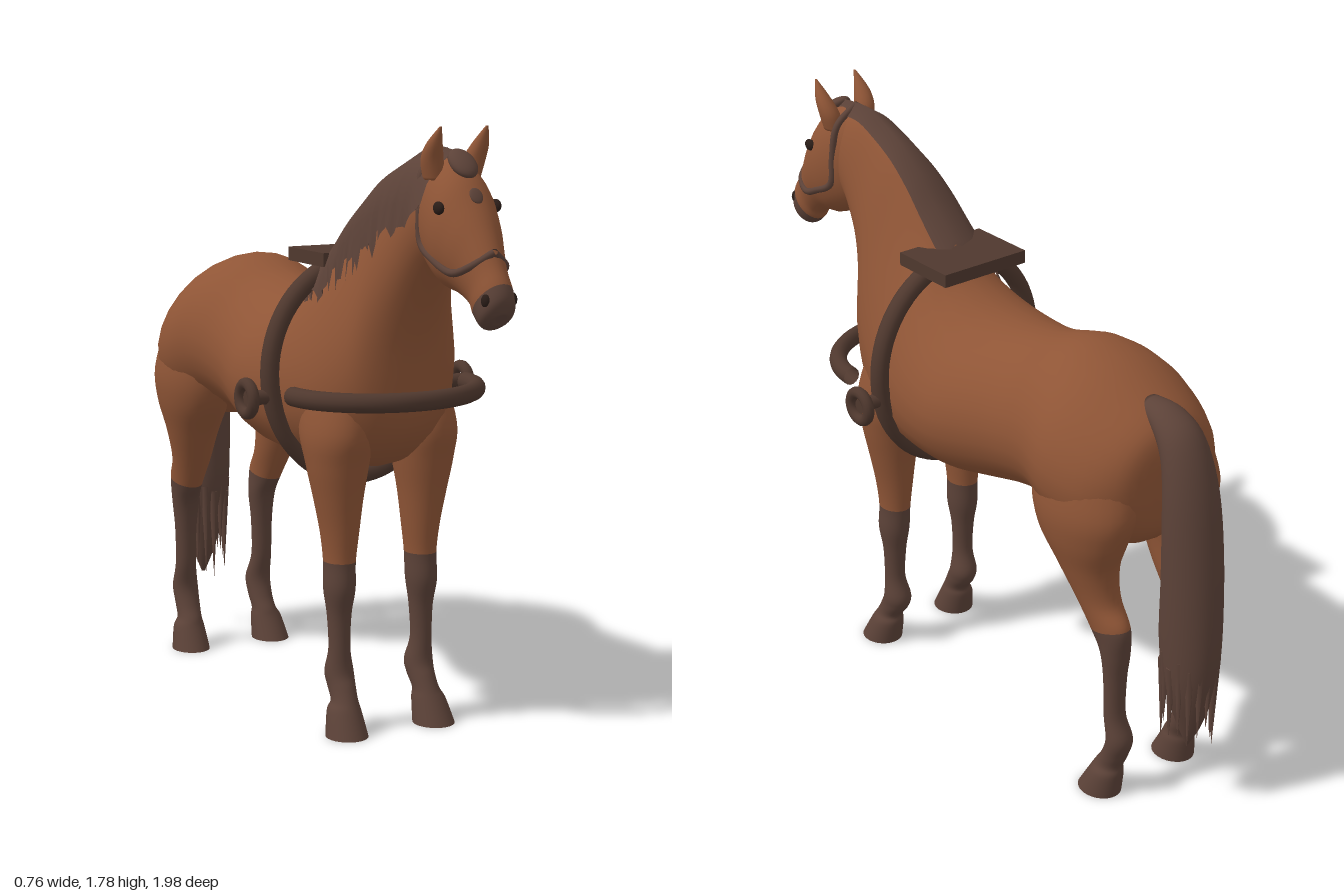
import * as THREE from 'three';

const mat = (name, color, side = THREE.FrontSide) => {
  const m = new THREE.MeshStandardMaterial({ color, side });
  m.name = name;
  return m;
};
const coat = mat('chestnutCoat', 0x8f5536);
const dark = mat('darkHair', 0x5c4238, THREE.DoubleSide);
const leather = mat('harnessLeather', 0x4f382e, THREE.DoubleSide);
const black = mat('eyeBlack', 0x2a1d18);

// Small seeded generator for the ragged hair
let seed = 7;
const rand = () => (seed = (seed * 16807) % 2147483647) / 2147483647;

const spline = (a, b, c, d, t) =>
  b + 0.5 * t * (c - a + t * (2 * a - 5 * b + 4 * c - d + t * (3 * (b - c) + d - a)));

// Skin over oval cross-sections [z1, y1, z2, y2, halfWidth, centreX, narrowing].
// Points 1 and 2 are the ends of the oval in the side plane; a positive
// narrowing slims the end at point 1. Rows after section `split` use material 1.
function loft(sections, split = Infinity, steps = 5, sides = 28) {
  const n = sections.length, rows = (n - 1) * steps, pos = [], first = [], second = [];
  const at = i => sections[Math.max(0, Math.min(n - 1, i))];
  const ring = r => {
    const i = Math.min(Math.floor(r / steps), n - 2), t = r / steps - i;
    const [z1, y1, z2, y2, w, cx, k] = [0, 1, 2, 3, 4, 5, 6].map(c =>
      spline(at(i - 1)[c] || 0, at(i)[c] || 0, at(i + 1)[c] || 0, at(i + 2)[c] || 0, t));
    for (let j = 0; j < sides; j++) {
      const a = j / sides * Math.PI * 2, c = Math.cos(a);
      pos.push(cx + w * Math.sin(a) * (1 - k * c), (y1 + y2 + c * (y1 - y2)) / 2, (z1 + z2 + c * (z1 - z2)) / 2);
    }
  };
  for (let r = 0; r <= rows; r++) ring(r);
  ring(rows); // separate ring so the end cap stays flat
  for (let r = 0; r < rows; r++) for (let j = 0; j < sides; j++) {
    const a = r * sides + j, b = r * sides + (j + 1) % sides;
    (r < split * steps ? first : second).push(a, a + sides, b, b, a + sides, b + sides);
  }
  const e = (rows + 1) * sides;
  for (let j = 1; j < sides - 1; j++) {
    first.push(0, j, j + 1);
    (split < n ? second : first).push(e, e + j + 1, e + j);
  }
  const g = new THREE.BufferGeometry();
  g.setAttribute('position', new THREE.Float32BufferAttribute(pos, 3));
  g.setIndex([...first, ...second]);
  g.addGroup(0, first.length, 0);
  g.addGroup(first.length, second.length, 1);
  g.computeVertexNormals();
  return g;
}

export function createModel() {
  const model = new THREE.Group();
  model.name = 'harnessedHorse';
  const add = (name, geo, material, x = 0, y = 0, z = 0) => {
    const m = new THREE.Mesh(geo, material);
    m.name = name;
    m.position.set(x, y, z);
    model.add(m);
    return m;
  };
  const blob = (name, material, x, y, z, sx, sy, sz) => {
    const m = add(name, new THREE.SphereGeometry(1, 20, 14), material, x, y, z);
    m.scale.set(sx, sy, sz);
    return m;
  };
  const tube = (name, pts, r, material) => add(name, new THREE.TubeGeometry(
    new THREE.CatmullRomCurve3(pts.map(p => new THREE.Vector3(...p))), 40, r, 8), material);

  // Trunk and neck, rump to throat
  add('bodyAndNeck', loft([
    [-0.795, 1.11, -0.79, 0.97, 0.06, 0, 0], [-0.77, 1.19, -0.77, 0.86, 0.17, 0, 0],
    [-0.68, 1.255, -0.70, 0.80, 0.25, 0, 0.08], [-0.55, 1.315, -0.57, 0.80, 0.285, 0, 0.08],
    [-0.42, 1.333, -0.44, 0.84, 0.262, 0, 0.1], [-0.25, 1.287, -0.30, 0.82, 0.245, 0, 0.1],
    [-0.05, 1.267, -0.08, 0.775, 0.29, 0, 0.1], [0.10, 1.315, 0.08, 0.76, 0.278, 0, 0.2],
    [0.20, 1.41, 0.24, 0.765, 0.24, 0, 0.35], [0.28, 1.49, 0.38, 0.80, 0.205, 0, 0.4],
    [0.36, 1.57, 0.49, 0.92, 0.165, 0, 0.4], [0.44, 1.63, 0.53, 1.14, 0.125, 0, 0.35],
    [0.53, 1.675, 0.575, 1.27, 0.10, 0, 0.3], [0.62, 1.705, 0.64, 1.38, 0.085, 0, 0.2],
    [0.70, 1.70, 0.69, 1.42, 0.075, 0, 0.1],
  ]), coat);
  blob('sheath', coat, 0, 0.85, -0.42, 0.04, 0.035, 0.07);

  // Head with a dark muzzle
  add('head', loft([
    [0.63, 1.69, 0.62, 1.43, 0.06], [0.72, 1.705, 0.66, 1.39, 0.09], [0.80, 1.66, 0.74, 1.345, 0.103],
    [0.86, 1.58, 0.80, 1.335, 0.09], [0.91, 1.50, 0.84, 1.32, 0.07], [0.95, 1.43, 0.87, 1.30, 0.057],
    [0.983, 1.38, 0.885, 1.275, 0.056], [0.997, 1.34, 0.92, 1.25, 0.05], [0.99, 1.305, 0.95, 1.262, 0.03],
    [0.985, 1.297, 0.96, 1.272, 0.012],
  ], 6), [coat, dark]);
  const star = blob('foreheadMark', dark, 0, 1.603, 0.845, 0.02, 0.024, 0.006);
  star.rotation.x = -0.58;
  const forelock = blob('forelock', dark, 0, 1.685, 0.775, 0.04, 0.055, 0.022);
  forelock.rotation.x = -0.9;

  for (const s of [1, -1]) {
    const side = s > 0 ? 'left' : 'right';
    blob(side + 'Eye', black, s * 0.09, 1.57, 0.80, 0.012, 0.018, 0.022);
    blob(side + 'Nostril', black, s * 0.04, 1.335, 0.965, 0.014, 0.02, 0.015);
    add(side + 'Ear', loft([
      [0.685, 1.64, 0.75, 1.64, 0.026, s * 0.058], [0.69, 1.69, 0.757, 1.69, 0.031, s * 0.066],
      [0.72, 1.735, 0.77, 1.735, 0.023, s * 0.073], [0.775, 1.785, 0.783, 1.785, 0.003, s * 0.073],
    ], Infinity, 5, 14), coat);

    // Legs with dark stockings and hooves
    add(side + 'FrontLeg', loft([
      [0.42, 1.05, 0.14, 1.05, 0.09, s * 0.12], [0.45, 0.90, 0.18, 0.90, 0.10, s * 0.14],
      [0.43, 0.80, 0.225, 0.80, 0.09, s * 0.142], [0.41, 0.70, 0.25, 0.70, 0.072, s * 0.14],
      [0.395, 0.60, 0.265, 0.60, 0.056, s * 0.136], [0.385, 0.51, 0.275, 0.51, 0.046, s * 0.136],
      [0.387, 0.43, 0.28, 0.43, 0.046, s * 0.138], [0.37, 0.35, 0.295, 0.35, 0.036, s * 0.138],
      [0.368, 0.25, 0.30, 0.25, 0.032, s * 0.138], [0.372, 0.18, 0.28, 0.18, 0.042, s * 0.135],
      [0.39, 0.14, 0.29, 0.14, 0.04, s * 0.135], [0.41, 0.10, 0.32, 0.10, 0.039, s * 0.138],
      [0.427, 0.07, 0.318, 0.07, 0.05, s * 0.143], [0.465, 0, 0.33, 0, 0.062, s * 0.147],
    ], 5), [coat, dark]);
    add(side + 'HindLeg', loft([
      [-0.42, 1.10, -0.74, 1.10, 0.12, s * 0.13], [-0.42, 0.95, -0.785, 0.95, 0.125, s * 0.153],
      [-0.455, 0.85, -0.765, 0.85, 0.105, s * 0.165], [-0.525, 0.75, -0.73, 0.75, 0.08, s * 0.16],
      [-0.585, 0.65, -0.735, 0.65, 0.06, s * 0.15], [-0.645, 0.55, -0.78, 0.58, 0.048, s * 0.145],
      [-0.685, 0.49, -0.775, 0.49, 0.044, s * 0.14], [-0.70, 0.40, -0.765, 0.40, 0.036, s * 0.14],
      [-0.705, 0.28, -0.765, 0.28, 0.034, s * 0.14], [-0.715, 0.20, -0.79, 0.20, 0.042, s * 0.135],
      [-0.695, 0.14, -0.775, 0.14, 0.04, s * 0.135], [-0.67, 0.10, -0.76, 0.10, 0.039, s * 0.138],
      [-0.655, 0.07, -0.762, 0.07, 0.05, s * 0.143], [-0.615, 0, -0.755, 0, 0.06, s * 0.147],
    ], 5), [coat, dark]);

    // Bridle strap and the harness ring on its peg
    tube(side + 'BridleStrap', [[0, 1.46, 0.938], [s * 0.056, 1.42, 0.905], [s * 0.077, 1.40, 0.85],
      [s * 0.09, 1.43, 0.77], [s * 0.086, 1.47, 0.70], [s * 0.084, 1.56, 0.69],
      [s * 0.07, 1.66, 0.68], [0, 1.715, 0.68]], 0.011, dark);
    add(side + 'HarnessRing', new THREE.TorusGeometry(0.044, 0.0175, 12, 32), leather, s * 0.362, 0.985, 0.185)
      .rotation.y = Math.PI / 2;
    add(side + 'RingPeg', new THREE.CylinderGeometry(0.022, 0.022, 0.07, 16), leather, s * 0.328, 0.985, 0.185)
      .rotation.z = Math.PI / 2;
  }

  // Mane draped over the right side of the neck, with a ragged lower edge
  const crest = new THREE.CatmullRomCurve3([[0.74, 1.71], [0.62, 1.717], [0.53, 1.687], [0.44, 1.642],
    [0.36, 1.58], [0.28, 1.50], [0.18, 1.405]].map(([z, y]) => new THREE.Vector3(0, y, z)));
  const mane = new THREE.PlaneGeometry(1, 1, 48, 5), mp = mane.attributes.position;
  const xs = [0.35, 0, -0.55, -0.88, -1, -1.06];
  for (let i = 0; i <= 48; i++) {
    const t = i / 48, p = crest.getPoint(t), w = 0.1 + 0.055 * t;
    const len = (0.17 + 0.09 * Math.sin(Math.PI * t)) * (0.8 + 0.35 * rand());
    const drops = [0.03, -0.008, 0.03, 0.08, 0.15, len];
    for (let j = 0; j < 6; j++)
      mp.setXYZ(j * 49 + i, xs[j] * w - (j > 3 ? 0.012 * rand() : 0), p.y - drops[j], p.z - 0.08 * drops[j]);
  }
  mane.computeVertexNormals();
  add('mane', mane, dark);

  // Tail and its loose strands
  add('tail', loft([
    [-0.70, 1.19, -0.69, 1.25, 0.04], [-0.76, 1.15, -0.78, 1.245, 0.06], [-0.79, 1.08, -0.87, 1.185, 0.075],
    [-0.80, 0.95, -0.935, 1.03, 0.088], [-0.80, 0.75, -0.972, 0.80, 0.09], [-0.795, 0.55, -0.985, 0.55, 0.085],
    [-0.82, 0.40, -0.972, 0.40, 0.07], [-0.855, 0.28, -0.94, 0.28, 0.035], [-0.895, 0.20, -0.90, 0.20, 0.006],
  ]), dark);
  for (let i = 0; i < 16; i++) {
    const a = i / 16 * Math.PI * 2, len = 0.2 + 0.1 * rand();
    add('tailStrand', new THREE.ConeGeometry(0.016, len, 6), dark,
      0.07 * Math.sin(a), 0.54 - len / 2 - 0.06 * rand(), -0.89 + 0.078 * Math.cos(a)).rotation.x = Math.PI;
  }

  // Harness: girth hoop, back pad and breast band
  add('girthHoop', new THREE.TorusGeometry(0.32, 0.03, 14, 64), leather, 0, 1.05, 0.185).scale.x = 0.9;
  add('backPad', new THREE.BoxGeometry(0.30, 0.04, 0.22), leather, 0, 1.382, 0.147);
  const band = add('breastBand', new THREE.TorusGeometry(0.288, 0.028, 14, 48, Math.PI), leather, 0, 1.007, 0.33);
  band.rotation.x = Math.PI / 2;
  band.scale.y = 0.86;
  return model;
}
